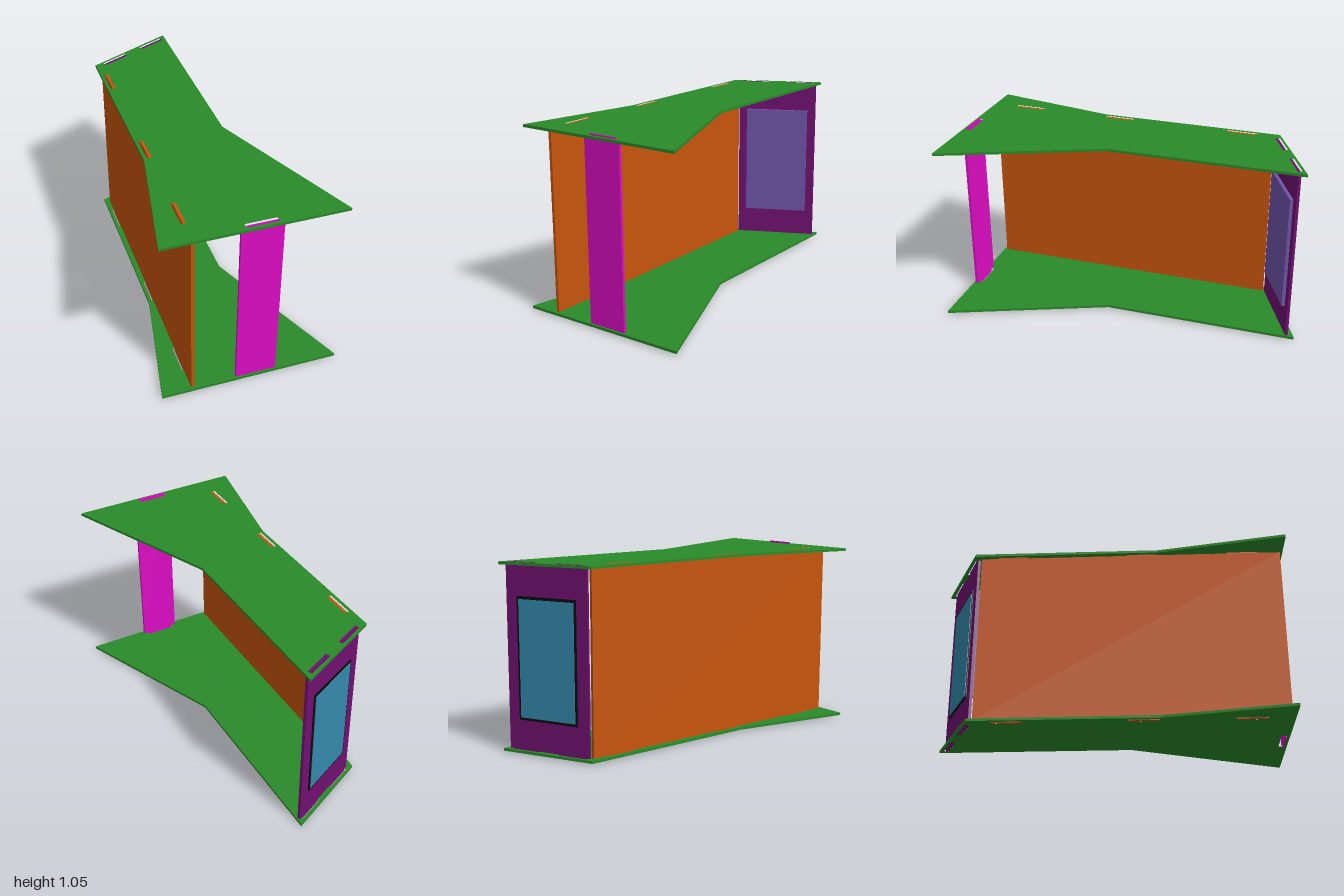
import * as THREE from 'three';

const material = (color) => new THREE.MeshStandardMaterial({ color });
const GREEN = material(0x2a8a2a), ORANGE = material(0xc8550c), PURPLE = material(0x701070);
const MAGENTA = material(0xdd0cc4), BLACK = material(0x0a0a0a);
const GLASS = material(0x3388aa), INNER_GLASS = material(0x7055a8);

// Heights: underside and top of each plate
const PLATE = 0.015, FLOOR = 0.023, CEILING = 1.023;
const WALL_HEIGHT = CEILING - FLOOR, MID = (CEILING + FLOOR) / 2;

// Slanted rear wall, running from its right end to its left end
const REAR_START = new THREE.Vector2(-0.318, -0.745);
const REAR_END = new THREE.Vector2(0.127, -0.957);
const REAR_LENGTH = REAR_START.distanceTo(REAR_END);
const REAR_ANGLE = Math.atan2(REAR_START.y - REAR_END.y, REAR_END.x - REAR_START.x);
const REAR_TABS = [-0.145, 0.145];
const SIDE_TABS = [-0.545, 0.195, 0.77];
const TAB = 0.17;

function box(parent, name, mat, size, position) {
  const mesh = new THREE.Mesh(new THREE.BoxGeometry(...size), mat);
  mesh.name = name;
  mesh.position.set(...position);
  parent.add(mesh);
  return mesh;
}

// Rectangular slot around (cx, cz), turned by the given angle
function slot(cx, cz, width, depth, angle = 0) {
  const c = Math.cos(angle), s = Math.sin(angle);
  const corners = [[-1, -1], [-1, 1], [1, 1], [1, -1]].map(([a, b]) => {
    const u = a * width / 2, v = b * depth / 2;
    return new THREE.Vector2(cx + u * c + v * s, cz - u * s + v * c);
  });
  return new THREE.Path(corners);
}

function plateGeometry() {
  const outline = [[-0.497, 1], [0.495, 1], [0.137, 0.115], [0.137, -1], [-0.36, -0.76], [-0.36, 0.29]];
  const shape = new THREE.Shape(outline.map(([x, z]) => new THREE.Vector2(x, z)));
  for (const z of SIDE_TABS) shape.holes.push(slot(-0.327, z, 0.027, TAB));
  shape.holes.push(slot(0.035, 0.967, TAB, 0.029));
  const mid = REAR_START.clone().add(REAR_END).multiplyScalar(0.5);
  const c = Math.cos(REAR_ANGLE), s = Math.sin(REAR_ANGLE);
  for (const u of REAR_TABS) {
    const v = -0.005;
    shape.holes.push(slot(mid.x + u * c + v * s, mid.y - u * s + v * c, TAB, 0.026, REAR_ANGLE));
  }
  const geometry = new THREE.ExtrudeGeometry(shape, { depth: PLATE, bevelEnabled: false });
  return geometry.rotateX(Math.PI / 2);
}

export function createModel() {
  const model = new THREE.Group();

  // Slotted floor and roof plates
  const plate = plateGeometry();
  for (const [name, top] of [['floorPlate', FLOOR], ['roofPlate', CEILING + PLATE]]) {
    const mesh = new THREE.Mesh(plate, GREEN);
    mesh.name = name;
    mesh.position.y = top;
    model.add(mesh);
  }
  const tabHeights = [FLOOR - PLATE / 2, CEILING + PLATE / 2];

  // Long side wall with its tabs
  const side = new THREE.Group();
  side.name = 'sideWall';
  box(side, 'sidePanel', ORANGE, [0.017, WALL_HEIGHT, 1.715], [-0.322, MID, 0.1275]);
  for (const y of tabHeights)
    for (const z of SIDE_TABS) box(side, 'sideTab', ORANGE, [0.016, PLATE, TAB], [-0.322, y, z]);
  model.add(side);

  // Narrow front post, with thin tabs standing slightly proud of the plates
  const front = new THREE.Group();
  front.name = 'frontPost';
  box(front, 'frontPanel', MAGENTA, [0.227, WALL_HEIGHT, 0.016], [0.0335, MID, 0.981]);
  for (const y of [0.0115, 1.0345]) box(front, 'frontTab', MAGENTA, [TAB, 0.023, 0.006], [0.035, y, 0.978]);
  model.add(front);

  // Slanted rear wall, local z pointing inward
  const rear = new THREE.Group();
  rear.name = 'rearWall';
  rear.position.set((REAR_START.x + REAR_END.x) / 2, 0, (REAR_START.y + REAR_END.y) / 2);
  rear.rotation.y = REAR_ANGLE;
  box(rear, 'rearPanel', PURPLE, [REAR_LENGTH, WALL_HEIGHT, 0.016], [0, MID, 0]);
  for (const y of tabHeights)
    for (const x of REAR_TABS) box(rear, 'rearTab', PURPLE, [TAB, PLATE, 0.015], [x, y, 0]);

  // Window: dark frame and pane outside, pale pane inside
  box(rear, 'windowFrame', BLACK, [0.36, 0.67, 0.006], [0, 0.523, -0.01]);
  box(rear, 'outerPane', GLASS, [0.335, 0.64, 0.006], [0, 0.523, -0.014]);
  box(rear, 'innerPane', INNER_GLASS, [0.39, 0.67, 0.02], [0, 0.523, 0.017]);
  model.add(rear);

  return model;
}
